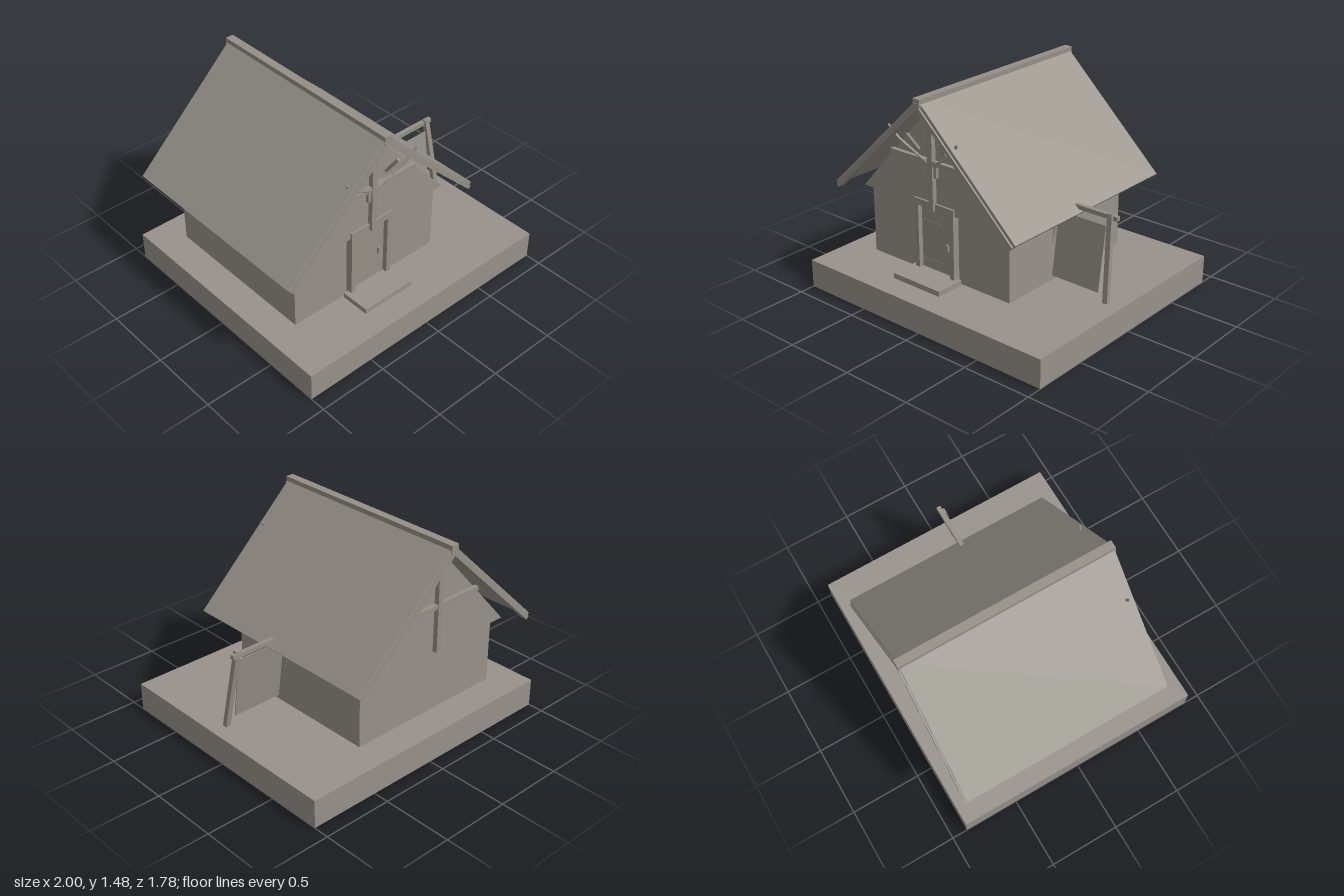
import * as THREE from 'three';

const stone = new THREE.MeshStandardMaterial({ color: 0x98918b });
stone.name = 'stone';
const thatch = new THREE.MeshStandardMaterial({ color: 0x97938a });
thatch.name = 'roof';
const wood = new THREE.MeshStandardMaterial({ color: 0x959086 });
wood.name = 'wood';
const cloth = new THREE.MeshStandardMaterial({ color: 0x979189, side: THREE.DoubleSide });
cloth.name = 'hide';

function add(parent, name, geometry, material) {
  const mesh = new THREE.Mesh(geometry, material);
  mesh.name = name;
  parent.add(mesh);
  return mesh;
}

// Box given by its limits on each axis
function block(parent, name, material, x0, x1, y0, y1, z0, z1) {
  const mesh = add(parent, name, new THREE.BoxGeometry(x1 - x0, y1 - y0, z1 - z0), material);
  mesh.position.set((x0 + x1) / 2, (y0 + y1) / 2, (z0 + z1) / 2);
  return mesh;
}

// Square beam from one point to another
function beam(parent, name, material, from, to, width, depth = width) {
  const a = new THREE.Vector3(...from), b = new THREE.Vector3(...to);
  const dir = b.clone().sub(a);
  const mesh = add(parent, name, new THREE.BoxGeometry(width, dir.length(), depth), material);
  mesh.position.copy(a).add(b).multiplyScalar(0.5);
  mesh.quaternion.setFromUnitVectors(new THREE.Vector3(0, 1, 0), dir.normalize());
  return mesh;
}

// Slab lying along the roof slope, its top sunk by the given offset
const EAVE = [0.79, 0.72], APEX = [0, 1.47];
function slopeSlab(parent, name, material, side, sink, thick, z0, z1) {
  const dx = EAVE[0] - APEX[0], dy = EAVE[1] - APEX[1], len = Math.hypot(dx, dy);
  const off = sink + thick / 2;
  const mesh = add(parent, name, new THREE.BoxGeometry(len, thick, z1 - z0), material);
  mesh.position.set(
    side * ((EAVE[0] + APEX[0]) / 2 + (dy / len) * off),
    (EAVE[1] + APEX[1]) / 2 - (dx / len) * off,
    (z0 + z1) / 2);
  mesh.rotation.z = side * Math.atan2(dy, dx);
}

export function createModel() {
  const model = new THREE.Group();
  model.name = 'hut';
  block(model, 'base', stone, -1, 1, 0, 0.2, -0.89, 0.89);

  // House, centred on its ridge line
  const house = new THREE.Group();
  house.name = 'house';
  house.position.x = -0.18;
  model.add(house);
  block(house, 'walls', stone, -0.605, 0.605, 0.2, 0.69, -0.67, 0.49);

  // Gable walls
  const triangle = new THREE.Shape([
    new THREE.Vector2(-0.65, 0.687), new THREE.Vector2(0.65, 0.687), new THREE.Vector2(0, 1.405)]);
  for (const z of [0.45, -0.725]) {
    const gable = add(house, 'gable', new THREE.ExtrudeGeometry(triangle, { depth: 0.075, bevelEnabled: false }), stone);
    gable.position.z = z;
  }

  // Roof panels, end rafters and ridge
  for (const side of [-1, 1]) {
    slopeSlab(house, 'roofPanel', thatch, side, 0, 0.026, -0.845, 0.655);
    slopeSlab(house, 'frontRafter', wood, side, 0.022, 0.028, 0.62, 0.667);
    slopeSlab(house, 'backRafter', wood, side, 0.022, 0.028, -0.857, -0.81);
  }
  block(house, 'ridgeBeam', wood, -0.029, 0.029, 1.42, 1.475, -0.857, 0.665);

  // Gable timber at the front and back
  for (const [z0, z1] of [[0.52, 0.56], [-0.76, -0.72]]) {
    block(house, 'kingPost', wood, -0.02, 0.02, 0.69, 1.41, z0, z1);
    block(house, 'tieBeam', wood, -0.357, 0.357, 1.005, 1.035, z0 + 0.004, z1 - 0.004);
  }
  block(house, 'postBlock', wood, -0.042, 0.042, 0.92, 1.005, 0.52, 0.548);

  // Curved braces poking through the roof, and short struts
  for (const s of [-1, 1]) {
    const curve = new THREE.CatmullRomCurve3([
      new THREE.Vector3(s * 0.02, 1.01, 0.55), new THREE.Vector3(s * 0.15, 1.085, 0.57),
      new THREE.Vector3(s * 0.235, 1.155, 0.6), new THREE.Vector3(s * 0.293, 1.228, 0.62)]);
    add(house, 'curvedBrace', new THREE.TubeGeometry(curve, 10, 0.009, 6), wood);
    const tip = add(house, 'braceTip', new THREE.SphereGeometry(0.009, 6, 4), wood);
    tip.position.set(s * 0.293, 1.228, 0.62);
    beam(house, 'strut', wood, [s * 0.12, 1.08, 0.53], [s * 0.143, 1.2, 0.61], 0.018);
  }

  // Door with frame, hinges, handle and step
  const door = new THREE.Group();
  door.name = 'doorway';
  house.add(door);
  for (const s of [-1, 1]) {
    const x = 0.0025 + s * 0.155;
    block(door, 'doorJamb', wood, x - 0.0175, x + 0.0175, 0.2, 0.735, 0.48, 0.54);
  }
  block(door, 'doorLintel', wood, -0.135, 0.14, 0.69, 0.735, 0.48, 0.54);
  block(door, 'doorPanel', wood, -0.135, 0.14, 0.2, 0.69, 0.48, 0.505);
  for (const y of [0.3, 0.575]) block(door, 'hinge', wood, -0.13, 0.05, y, y + 0.008, 0.504, 0.508);
  block(door, 'handle', wood, 0.086, 0.104, 0.41, 0.457, 0.5, 0.52);
  block(model, 'step', stone, -0.385, 0.025, 0.2, 0.237, 0.505, 0.715);

  // Leaning drying rack beside the house
  const rack = new THREE.Group();
  rack.name = 'dryingRack';
  rack.position.x = 0.635;
  model.add(rack);
  for (const s of [-1, 1]) {
    beam(rack, 'rackPost', wood, [s * 0.25, 0.2, 0.09], [s * 0.203, 0.777, 0.003], 0.036, 0.034);
  }
  block(rack, 'rackBar', wood, -0.225, 0.255, 0.737, 0.767, -0.022, 0.008);
  beam(rack, 'hide', cloth, [-0.002, 0.25, 0.085], [-0.002, 0.695, 0.022], 0.37, 0.006);

  return model;
}
